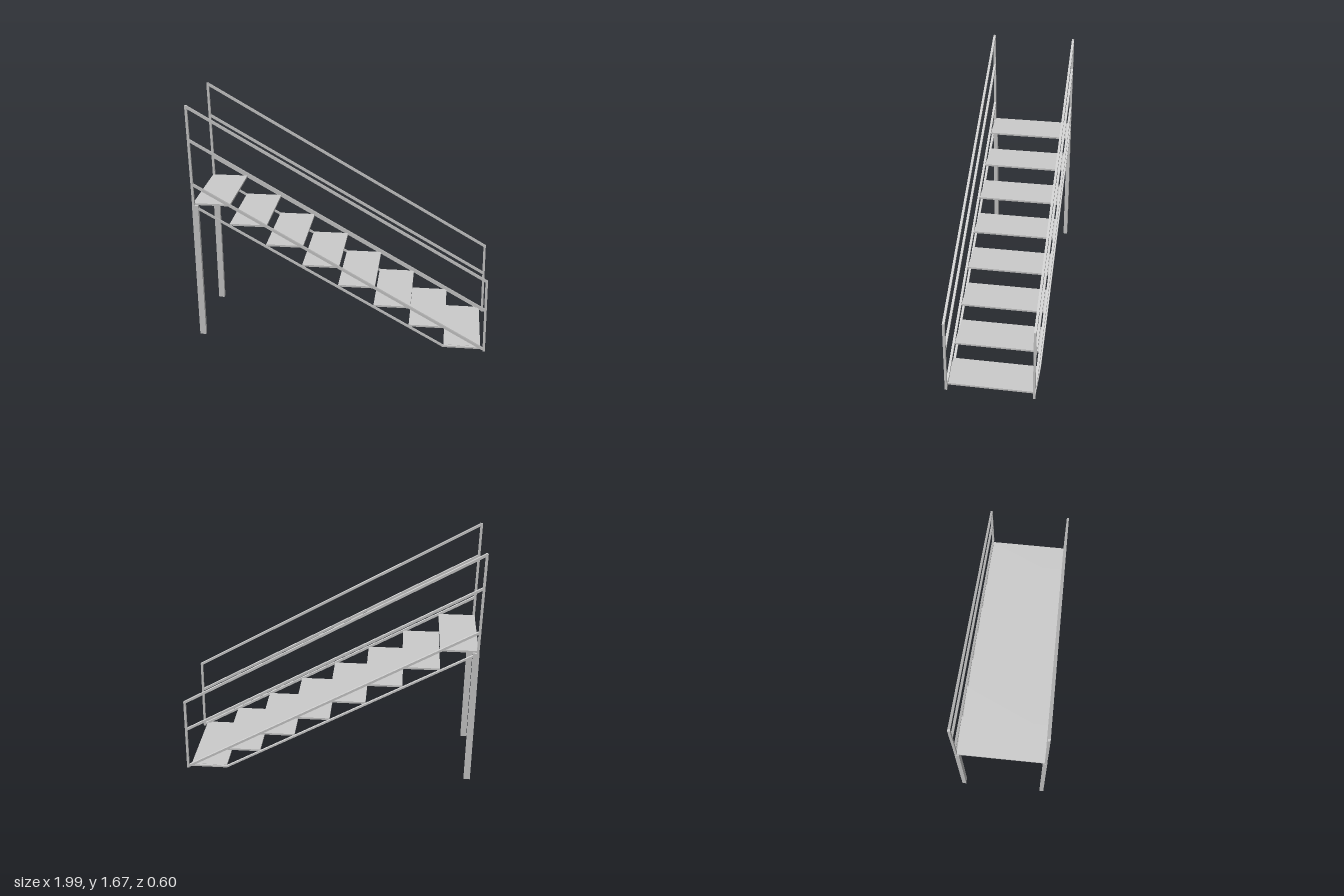
import * as THREE from 'three';

export function createModel() {
  const model = new THREE.Group();
  const material = new THREE.MeshStandardMaterial({ color: 0xcccccc, flatShading: true });

  function box(name, parent, w, h, d, x, y, z) {
    const mesh = new THREE.Mesh(new THREE.BoxGeometry(w, h, d), material);
    mesh.name = name;
    mesh.position.set(x, y, z);
    parent.add(mesh);
    return mesh;
  }

  // Square bar running between two points of a side frame
  function bar(name, parent, [x0, y0], [x1, y1], z, size = 0.016) {
    const mesh = box(name, parent, Math.hypot(x1 - x0, y1 - y0), size, 0.016, (x0 + x1) / 2, (y0 + y1) / 2, z);
    mesh.rotation.z = Math.atan2(y1 - y0, x1 - x0);
  }

  // Treads, evenly spaced down the flight
  const steps = 8, topY = 0.991, bottomY = 0.024;
  for (let i = 0; i < steps; i++) {
    const t = i / (steps - 1);
    box('tread', model, 0.25, 0.013, 0.566, -0.861 + t * 1.698, topY + t * (bottomY - topY), 0);
  }

  // Side frames: stringers, rails, posts and leg
  for (const side of [1, -1]) {
    const frame = new THREE.Group();
    frame.name = side > 0 ? 'frontSideFrame' : 'backSideFrame';
    model.add(frame);
    const z = side * 0.289;
    bar('lowerStringer', frame, [-0.985, 0.983], [0.712, 0.021], z, 0.012);
    bar('footStringer', frame, [0.706, 0.023], [0.975, 0.023], z, 0.012);
    bar('upperStringer', frame, [-0.982, 1.133], [0.98, 0.015], z);
    bar('middleRail', frame, [-0.985, 1.437], [0.98, 0.311], z);
    bar('topRail', frame, [-0.99, 1.662], [0.98, 0.526], z);
    bar('upperPost', frame, [-0.991, 1.67], [-0.981, 0.985], z);
    bar('lowerPost', frame, [0.978, 0.533], [0.987, 0], z);
    box('leg', frame, 0.042, 0.97, 0.028, -0.969, 0.5, side * 0.284);
  }
  return model;
}
